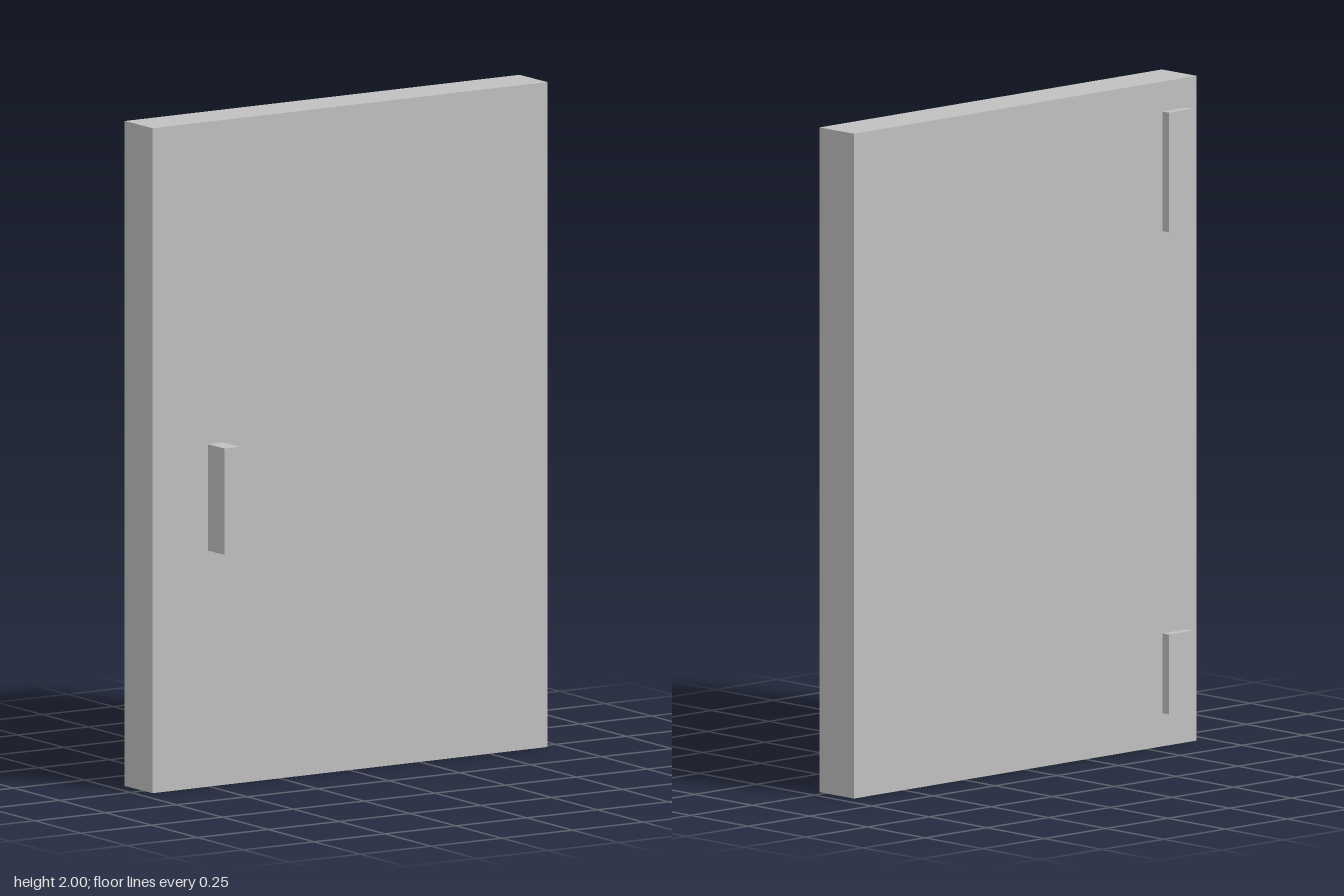
import * as THREE from 'three';

export function createModel() {
  const model = new THREE.Group();
  model.name = 'door';
  const grey = new THREE.MeshStandardMaterial({ name: 'grey', color: 0xc0c0c0 });

  // the whole door stands slightly ajar
  const leaf = new THREE.Group();
  leaf.name = 'doorLeaf';
  leaf.position.z = -0.038;
  leaf.rotation.y = 0.016;
  model.add(leaf);

  // box given by its lower and upper limits
  function addBox(name, [x0, x1], [y0, y1], [z0, z1]) {
    const mesh = new THREE.Mesh(new THREE.BoxGeometry(x1 - x0, y1 - y0, z1 - z0), grey);
    mesh.name = name;
    mesh.position.set((x0 + x1) / 2, (y0 + y1) / 2, (z0 + z1) / 2);
    leaf.add(mesh);
  }

  addBox('panel', [-0.704, 0.704], [0, 2], [-0.074, 0.074]);
  addBox('handle', [-0.506, -0.452], [0.71, 1.03], [0.07, 0.161]);

  // hinge plates on the back
  addBox('upperHinge', [-0.66, -0.563], [1.55, 1.91], [-0.103, -0.07]);
  addBox('lowerHinge', [-0.66, -0.563], [0.1, 0.34], [-0.103, -0.07]);

  return model;
}
